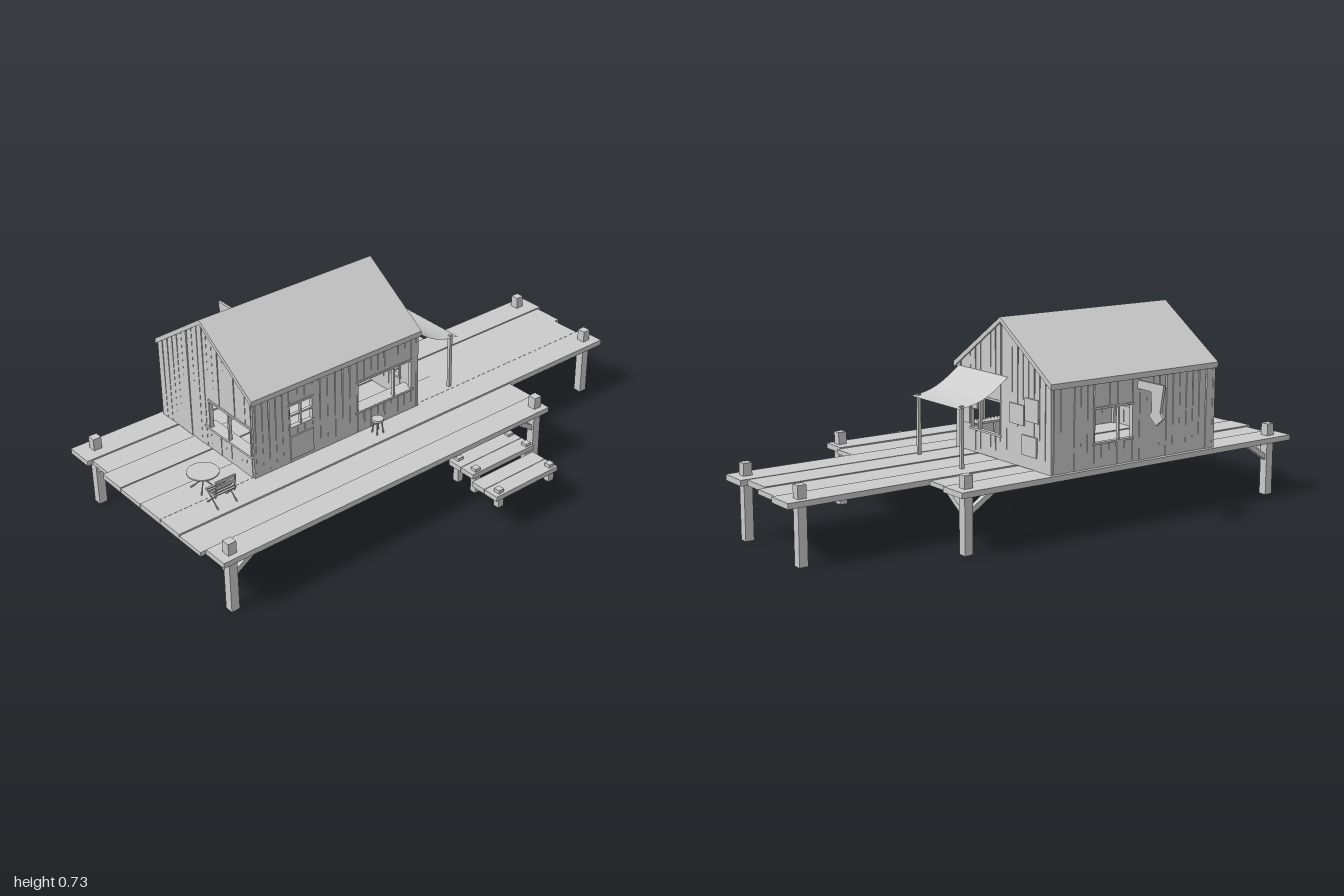
import * as THREE from 'three';

const mat = new THREE.MeshStandardMaterial({ color: 0xcccccc, flatShading: true });
const matThin = new THREE.MeshStandardMaterial({ color: 0xcccccc, side: THREE.DoubleSide });
const DECK = 0.225, T = 0.012;

function add(parent, name, geometry, material = mat) {
  const m = new THREE.Mesh(geometry, material);
  m.name = name;
  parent.add(m);
  return m;
}

// Box given by its minimum and maximum corners
function box(parent, name, x0, x1, y0, y1, z0, z1) {
  const m = add(parent, name, new THREE.BoxGeometry(x1 - x0, y1 - y0, z1 - z0));
  m.position.set((x0 + x1) / 2, (y0 + y1) / 2, (z0 + z1) / 2);
  return m;
}

// Square or round bar between two points
function bar(parent, name, a, b, r, sides = 4) {
  const p = new THREE.Vector3(...a), q = new THREE.Vector3(...b);
  const g = new THREE.CylinderGeometry(r, r, p.distanceTo(q), sides);
  if (sides === 4) g.rotateY(Math.PI / 4);
  const m = add(parent, name, g);
  m.position.copy(p).lerp(q, 0.5);
  m.quaternion.setFromUnitVectors(new THREE.Vector3(0, 1, 0), q.sub(p).normalize());
  return m;
}

function extrude(parent, name, pts, depth) {
  const shape = new THREE.Shape(pts.map(p => new THREE.Vector2(...p)));
  return add(parent, name, new THREE.ExtrudeGeometry(shape, { depth, bevelEnabled: false }));
}

let seed = 7;
const rand = () => (seed = (seed * 16807) % 2147483647) / 2147483647;

// Wall of upright planks with uneven gaps; openings are [u0, u1, y0, y1]
function plankWall(parent, name, u0, u1, topAt, openings, breaks = []) {
  const wall = new THREE.Group();
  wall.name = name;
  parent.add(wall);
  const stops = [u0, u1, ...breaks, ...openings.flatMap(o => [o[0], o[1]])].sort((a, b) => a - b);
  for (let s = 0; s < stops.length - 1; s++) {
    const width = stops[s + 1] - stops[s];
    const n = Math.max(1, Math.round(width / 0.031));
    for (let i = 0; i < n; i++) {
      const a = stops[s] + width * i / n, b = stops[s] + width * (i + 1) / n;
      const hole = openings.find(o => a > o[0] - 1e-4 && b < o[1] + 1e-4);
      const g0 = rand() * 0.003, g1 = rand() * 0.004;
      const piece = (y, ta, tb) => extrude(wall, 'wallPlank',
        [[a, y], [b, y], [b - g1, tb], [a + g0, ta]], T - rand() * 0.003);
      if (hole) {
        piece(DECK, hole[2], hole[2]);
        piece(hole[3], topAt(a), topAt(b));
      } else piece(DECK, topAt(a), topAt(b));
    }
  }
  // Opening frames
  for (const [a, b, y0, y1] of openings) {
    const f = 0.005;
    box(wall, 'sill', a - f, b + f, y0 - f, y0 + f / 2, -0.003, T + 0.003);
    box(wall, 'lintel', a - f, b + f, y1 - f / 2, y1 + f, -0.003, T + 0.003);
    for (const u of [a, b]) box(wall, 'jamb', u - f / 2, u + f / 2, y0, y1, -0.002, T + 0.002);
  }
  return wall;
}

function buildDeck(root) {
  const deck = new THREE.Group();
  deck.name = 'deck';
  root.add(deck);
  const planks = [[-0.5, -0.39, -0.485, 1, 0], [-0.39, -0.29, -0.47, 0.98, -0.004], [-0.29, -0.18, -1, 1, 0],
    [-0.18, -0.06, -0.985, 1, -0.003], [-0.06, 0.06, -0.96, 1, 0], [0.06, 0.17, -0.985, 1, 0.001],
    [0.17, 0.29, -0.485, 1, -0.004], [0.29, 0.39, -0.47, 0.98, 0]];
  for (const [x0, x1, z0, z1, d] of planks) box(deck, 'deckPlank', x0, x1 - 0.002, 0.205, DECK + d, z0, z1);
  // Piles, the four main ones with diagonal braces
  const h = 0.016;
  for (const [x, z, braced] of [[-0.45, -0.435, 1], [0.35, -0.435, 1], [-0.45, 0.93, 1], [0.35, 0.93, 1],
    [-0.25, -0.935, 0], [0.12, -0.935, 0]]) {
    box(deck, 'pile', x - h, x + h, 0, 0.27, z - h, z + h);
    if (!braced) continue;
    const sx = x < 0 ? 1 : -1, sz = z < 0 ? 1 : -1;
    bar(deck, 'brace', [x + sx * 0.01, 0.14, z], [x + sx * 0.115, 0.208, z], 0.013);
    bar(deck, 'brace', [x, 0.14, z + sz * 0.01], [x, 0.208, z + sz * 0.115], 0.013);
  }
}

// Two low landings stepping down beside the deck
function buildLandings(root) {
  const g = new THREE.Group();
  g.name = 'landings';
  root.add(g);
  for (const [x0, x1, y] of [[0.37, 0.495, 0.17], [0.49, 0.615, 0.14]])
    for (let i = 0; i < 2; i++) {
      const w = (x1 - x0) / 2;
      box(g, 'landingPlank', x0 + i * w, x0 + (i + 1) * w - 0.002, y, y + 0.019, -0.29, 0.005);
    }
  for (const [x, top] of [[0.387, 0.2], [0.475, 0.2], [0.592, 0.172]])
    for (const z of [-0.27, -0.025]) box(g, 'landingPost', x - 0.012, x + 0.012, 0.102, top, z - 0.012, z + 0.012);
}

function buildHut(root) {
  const hut = new THREE.Group();
  hut.name = 'hut';
  root.add(hut);
  const L = -0.485, R = 0.07, B = -0.115, F = 0.625, ridge = -0.205;
  const gable = x => 0.715 - (x < ridge ? (ridge - x) / (ridge - L) : (x - ridge) / (R - ridge)) * 0.19;
  const eave = () => 0.525;

  const front = plankWall(hut, 'frontWall', L, R, gable, [[-0.18, 0.06, 0.31, 0.42]], [ridge]);
  front.position.z = F - T;
  box(front, 'mullion', -0.075, -0.067, 0.31, 0.42, 0, T);
  box(front, 'counter', -0.21, 0.07, 0.305, 0.313, -0.03, T + 0.004);
  const back = plankWall(hut, 'backWall', L, R, gable, [[-0.2, -0.02, 0.31, 0.43]], [ridge]);
  back.position.z = B;
  box(back, 'mullion', -0.075, -0.068, 0.31, 0.43, 0, T);
  box(back, 'pane', -0.055, -0.02, 0.38, 0.42, 0.003, 0.008);
  // Patch boards
  for (const [x0, x1, y0, y1] of [[-0.34, -0.26, 0.37, 0.44], [-0.42, -0.345, 0.39, 0.47],
    [-0.41, -0.33, 0.27, 0.34], [-0.02, 0.04, 0.325, 0.42]]) box(back, 'patch', x0, x1, y0, y1, -0.006, 0.001);

  // Side walls run along z
  const right = plankWall(hut, 'rightWall', B + T, F - T, eave,
    [[-0.08, 0.17, 0.31, 0.43], [0.37, 0.47, 0.365, 0.455]]);
  const left = plankWall(hut, 'leftWall', B + T, F - T, eave, [[0.07, 0.24, 0.31, 0.43]]);
  for (const [w, x] of [[right, R], [left, L + T]]) { w.rotation.y = -Math.PI / 2; w.position.x = x; }
  box(right, 'windowBar', 0.37, 0.47, 0.408, 0.414, 0, T);
  box(right, 'windowBar', 0.417, 0.423, 0.365, 0.455, 0, T);
  box(right, 'patch', 0.37, 0.47, 0.24, 0.33, -0.005, 0.001);
  box(right, 'counter', -0.09, 0.18, 0.304, 0.312, -0.004, 0.05);
  box(right, 'mullion', -0.004, 0.004, 0.31, 0.43, 0, T);
  box(left, 'mullion', 0.176, 0.182, 0.31, 0.43, 0, T);

  // Corner posts and rafters
  for (const x of [L + T, R - T * 2])
    for (const z of [B + T, F - T * 2]) box(hut, 'cornerPost', x, x + T, DECK, 0.52, z, z + T);
  for (const z of [B + 0.02, 0.25, F - 0.02])
    for (const x of [L + 0.01, R - 0.01]) bar(hut, 'rafter', [x, 0.522, z], [ridge, 0.705, z], 0.009);

  // Roof: one folded slab along the ridge
  const roof = extrude(hut, 'roof', [[-0.492, 0.516], [ridge, 0.71], [0.077, 0.516], [0.077, 0.536],
    [ridge, 0.728], [-0.492, 0.536]], 0.752);
  roof.position.z = -0.122;

  // Hanging arrow board
  const sign = extrude(hut, 'arrowBoard', [[-0.485, 0.51], [-0.618, 0.51], [-0.602, 0.412], [-0.618, 0.395],
    [-0.582, 0.365], [-0.545, 0.395], [-0.56, 0.412], [-0.553, 0.48], [-0.485, 0.48]], 0.01);
  sign.position.z = 0.26;
}

// Sagging cloth on two poles behind the hut
function buildAwning(root) {
  const g = new THREE.Group();
  g.name = 'awning';
  root.add(g);
  const cloth = new THREE.PlaneGeometry(0.298, 0.2, 8, 8);
  const p = cloth.attributes.position;
  for (let i = 0; i < p.count; i++) {
    const x = p.getX(i), t = p.getY(i) / 0.2 + 0.5;
    p.setXYZ(i, x - 0.093, 0.435 + 0.09 * t - 0.022 * Math.sin(Math.PI * t), -0.318 + 0.205 * t);
  }
  cloth.computeVertexNormals();
  add(g, 'cloth', cloth, matThin);
  for (const x of [-0.225, 0.04]) box(g, 'pole', x - 0.006, x + 0.006, DECK, 0.442, -0.302, -0.29);
}

function buildFurniture(root) {
  const g = new THREE.Group();
  g.name = 'furniture';
  root.add(g);
  // Round table on crossed legs
  const cz = 0.785;
  add(g, 'tableTop', new THREE.CylinderGeometry(0.056, 0.056, 0.005, 24)).position.set(0, 0.29, cz);
  for (let i = 0; i < 4; i++) {
    const a = Math.PI / 4 + i * Math.PI / 2, c = Math.cos(a) * 0.045, s = Math.sin(a) * 0.045;
    bar(g, 'tableLeg', [c, DECK, cz + s], [-c * 0.7, 0.288, cz - s * 0.7], 0.0025, 6);
  }
  // Slatted chair facing the table
  for (const z of [cz - 0.038, cz + 0.038]) {
    bar(g, 'chairLeg', [0.075, DECK, z], [0.13, 0.277, z], 0.0028, 6);
    bar(g, 'chairLeg', [0.138, DECK, z], [0.075, 0.277, z], 0.0028, 6);
    bar(g, 'chairBackPost', [0.125, 0.265, z], [0.135, 0.333, z], 0.003, 6);
    bar(g, 'chairRail', [0.072, 0.277, z], [0.132, 0.277, z], 0.003, 6);
  }
  for (let i = 0; i < 5; i++) {
    const x = 0.073 + i * 0.013;
    box(g, 'seatSlat', x, x + 0.008, 0.277, 0.281, cz - 0.042, cz + 0.042);
  }
  for (const y of [0.302, 0.321]) box(g, 'backSlat', 0.129, 0.134, y, y + 0.011, cz - 0.04, cz + 0.04);
  // Stool at the side counter
  add(g, 'stoolSeat', new THREE.CylinderGeometry(0.022, 0.022, 0.009, 16)).position.set(0.115, 0.28, 0.115);
  for (let i = 0; i < 4; i++) {
    const a = Math.PI / 4 + i * Math.PI / 2, c = Math.cos(a), s = Math.sin(a);
    bar(g, 'stoolLeg', [0.115 + c * 0.02, DECK, 0.115 + s * 0.02], [0.115 + c * 0.013, 0.278, 0.115 + s * 0.013], 0.003, 6);
  }
}

export function createModel() {
  seed = 7;
  const root = new THREE.Group();
  root.name = 'pierHut';
  for (const build of [buildDeck, buildLandings, buildHut, buildAwning, buildFurniture]) build(root);
  // Centre the whole on x
  root.children.forEach(c => { c.position.x = 0; });
  return root;
}
